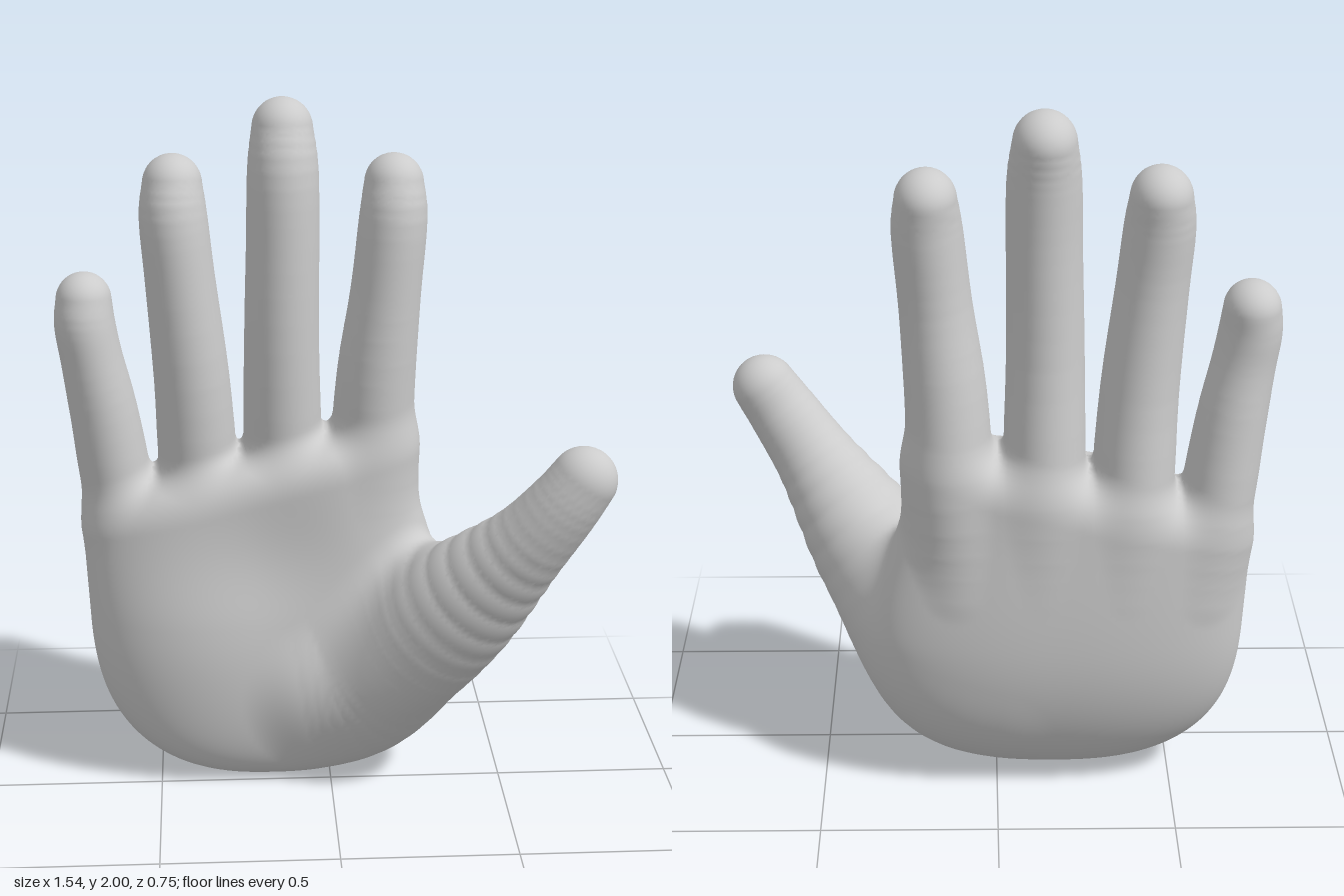
import * as THREE from 'three';

// Smooth blends between distance values
const smin = (a, b, k) => {
  const h = Math.max(k - Math.abs(a - b), 0) / k;
  return Math.min(a, b) - h * h * k / 4;
};
const smax = (a, b, k) => -smin(-a, -b, k);
const { smoothstep, clamp } = THREE.MathUtils;

// Digits: joints as [x, y, z, radius] from inside the palm to the tip, and depth squash
const digits = [
  { name: 'thumb', squash: 1, joints: [
    [-0.03, 0.28, -0.09, 0.175], [0.1, 0.31, -0.06, 0.195], [0.22, 0.42, 0, 0.2], [0.36, 0.59, 0.1, 0.18],
    [0.52, 0.8, 0.22, 0.122], [0.62, 0.94, 0.27, 0.102], [0.677, 1.025, 0.283, 0.093]] },
  { name: 'indexFinger', squash: 0.8, joints: [
    [0.1, 0.65, -0.2, 0.09], [0.125, 0.92, -0.19, 0.117], [0.14, 1.2, -0.167, 0.113],
    [0.165, 1.45, -0.153, 0.1], [0.185, 1.66, -0.158, 0.096], [0.188, 1.757, -0.178, 0.084]] },
  { name: 'middleFinger', squash: 0.8, joints: [
    [-0.13, 0.65, -0.2, 0.09], [-0.13, 0.92, -0.19, 0.113], [-0.132, 1.3, -0.157, 0.107],
    [-0.127, 1.6, -0.15, 0.103], [-0.125, 1.8, -0.158, 0.1], [-0.125, 1.914, -0.185, 0.086]] },
  { name: 'ringFinger', squash: 0.8, joints: [
    [-0.36, 0.65, -0.2, 0.09], [-0.375, 0.9, -0.19, 0.113], [-0.39, 1.2, -0.162, 0.108],
    [-0.418, 1.5, -0.15, 0.099], [-0.433, 1.67, -0.155, 0.096], [-0.434, 1.762, -0.175, 0.084]] },
  { name: 'littleFinger', squash: 0.82, joints: [
    [-0.56, 0.62, -0.19, 0.08], [-0.607, 0.85, -0.18, 0.102], [-0.643, 1.1, -0.16, 0.097],
    [-0.673, 1.27, -0.145, 0.088], [-0.689, 1.37, -0.143, 0.086], [-0.69, 1.437, -0.152, 0.079]] },
];

// Resample each digit along smooth curves so that it swells and tapers without rings
for (const digit of digits) {
  const smooth = (points) => new THREE.CatmullRomCurve3(points, false, 'catmullrom')
    .getPoints((points.length - 1) * 4);
  const path = smooth(digit.joints.map(([x, y, z]) => new THREE.Vector3(x, y, z)));
  const radii = smooth(digit.joints.map((j) => new THREE.Vector3(j[3], 0, 0)));
  digit.samples = path.map((p, i) => [p.x, p.y, p.z, radii[i].x]);
}

// Chain of short tapered round segments
function digitField({ samples, squash }, x, y, z) {
  let d = Infinity;
  for (let i = 0; i + 1 < samples.length; i++) {
    const [ax, ay, az, ar] = samples[i], [bx, by, bz, br] = samples[i + 1];
    const ux = bx - ax, uy = by - ay, uz = (bz - az) * squash;
    const px = x - ax, py = y - ay, pz = (z - az) * squash;
    const t = clamp((px * ux + py * uy + pz * uz) / (ux * ux + uy * uy + uz * uz), 0, 1);
    const qx = px - ux * t, qy = py - uy * t, qz = pz - uz * t;
    d = Math.min(d, Math.sqrt(qx * qx + qy * qy + qz * qz) - ar - (br - ar) * t);
  }
  return d;
}

// Rounded slab with a domed heel, slanted knuckle line, hollow and heel pad
function palmField(x, y, z) {
  const right = 0.36 - 0.11 * smoothstep(y, 0.45, 0.95);
  const left = -0.695 - 0.02 * smoothstep(y, 0.3, 0.85);
  const halfDepth = 0.21 - 0.025 * smoothstep(y, 0.5, 1);
  const w = Math.max(0, 0.5 - y) / 0.5;
  const u = (x - (left + right) / 2) / ((right - left) / 2);
  const v = (z + 0.16 - 0.075 * w * w) / halfDepth;
  const p = 2.5;
  let d = ((Math.abs(u) ** p + Math.abs(v) ** p + w ** p) ** (1 / p) - 1) * halfDepth;
  const bump = (cx, cy, s) => Math.exp(-((x - cx) ** 2 + (y - cy) ** 2) / s);
  d += smoothstep(v, 0, 1) * (0.035 * bump(-0.13, 0.68, 0.04) - 0.025 * bump(-0.45, 0.45, 0.05));
  return smax(d, y - 0.97 - 0.235 * (x + 0.25), 0.12);
}

const partFields = (x, y, z) => [palmField(x, y, z), ...digits.map((g) => digitField(g, x, y, z))];

// Whole hand: thumb melts into the palm, fingers join with tight webs
function handField(x, y, z) {
  const [palm, thumb, ...fingers] = partFields(x, y, z);
  const row = fingers.reduce((a, b) => smin(a, b, 0.03));
  return smin(smin(palm, thumb, 0.1), row, 0.055);
}

function gradient([x, y, z]) {
  const e = 0.008;
  return [
    (handField(x + e, y, z) - handField(x - e, y, z)) / (2 * e),
    (handField(x, y + e, z) - handField(x, y - e, z)) / (2 * e),
    (handField(x, y, z + e) - handField(x, y, z - e)) / (2 * e),
  ];
}

// Skin the field: one vertex per crossed grid cell, one quad per crossed edge
function skin() {
  const min = [-0.85, -0.06, -0.45], max = [0.85, 2.06, 0.45], step = 0.0145;
  const n = min.map((m, a) => Math.ceil((max[a] - m) / step) + 1);
  const stride = [1, n[0], n[0] * n[1]];
  const values = new Float32Array(n[0] * n[1] * n[2]).fill(1);
  const cellVertex = new Int32Array(values.length).fill(-1);
  const eachPoint = (fn) => {
    for (let k = 0; k < n[2] - 1; k++)
      for (let j = 0; j < n[1] - 1; j++)
        for (let i = 0; i < n[0] - 1; i++) fn([i, j, k], i + j * stride[1] + k * stride[2]);
  };
  eachPoint((c, id) => { values[id] = handField(...c.map((q, a) => min[a] + q * step)); });

  const vertices = [];
  eachPoint((c, id) => {
    const sum = [0, 0, 0];
    let count = 0;
    for (let corner = 0; corner < 8; corner++) {
      const bits = [corner & 1, (corner >> 1) & 1, corner >> 2];
      const from = id + bits[0] + bits[1] * stride[1] + bits[2] * stride[2];
      for (let a = 0; a < 3; a++) {
        if (bits[a]) continue;
        const v0 = values[from], v1 = values[from + stride[a]];
        if ((v0 < 0) === (v1 < 0)) continue;
        bits.forEach((b, q) => { sum[q] += b + (q === a ? v0 / (v0 - v1) : 0); });
        count++;
      }
    }
    if (!count) return;
    // Pull the vertex onto the surface, within its cell's neighbourhood
    let pos = sum.map((s, a) => min[a] + (c[a] + s / count) * step);
    const g = gradient(pos), d = handField(...pos);
    const pull = d / Math.max(g[0] ** 2 + g[1] ** 2 + g[2] ** 2, 0.05);
    pos = pos.map((q, a) => q - clamp(pull * g[a], -step / 2, step / 2));
    const normal = new THREE.Vector3(...gradient(pos)).normalize().toArray();
    const fields = partFields(...pos);
    cellVertex[id] = vertices.length;
    vertices.push({ pos, normal, part: fields.indexOf(Math.min(...fields)) });
  });

  const quads = [];
  eachPoint((c, id) => {
    for (let a = 0; a < 3; a++) {
      const inside = values[id] < 0;
      if (inside === (values[id + stride[a]] < 0)) continue;
      const b = stride[(a + 1) % 3], e = stride[(a + 2) % 3];
      const quad = [id, id - b, id - b - e, id - e].map((q) => cellVertex[q]);
      quads.push(inside ? quad : quad.reverse());
    }
  });
  return { vertices, quads };
}

export function createModel() {
  const hand = new THREE.Group();
  hand.name = 'hand';
  const material = new THREE.MeshStandardMaterial({ color: 0xcccccc });
  const { vertices, quads } = skin();

  // Split the skin into named parts that share their border normals
  ['palm', ...digits.map((g) => g.name)].forEach((name, part) => {
    const position = [], normal = [], index = [], used = new Map();
    const use = (id) => {
      if (!used.has(id)) {
        used.set(id, used.size);
        position.push(...vertices[id].pos);
        normal.push(...vertices[id].normal);
      }
      return used.get(id);
    };
    for (const quad of quads) {
      if (vertices[quad[0]].part !== part) continue;
      const [a, b, c, d] = quad.map(use);
      index.push(a, b, c, a, c, d);
    }
    const geometry = new THREE.BufferGeometry();
    geometry.setAttribute('position', new THREE.Float32BufferAttribute(position, 3));
    geometry.setAttribute('normal', new THREE.Float32BufferAttribute(normal, 3));
    geometry.setIndex(index);
    const mesh = new THREE.Mesh(geometry, material);
    mesh.name = name;
    hand.add(mesh);
  });
  return hand;
}
